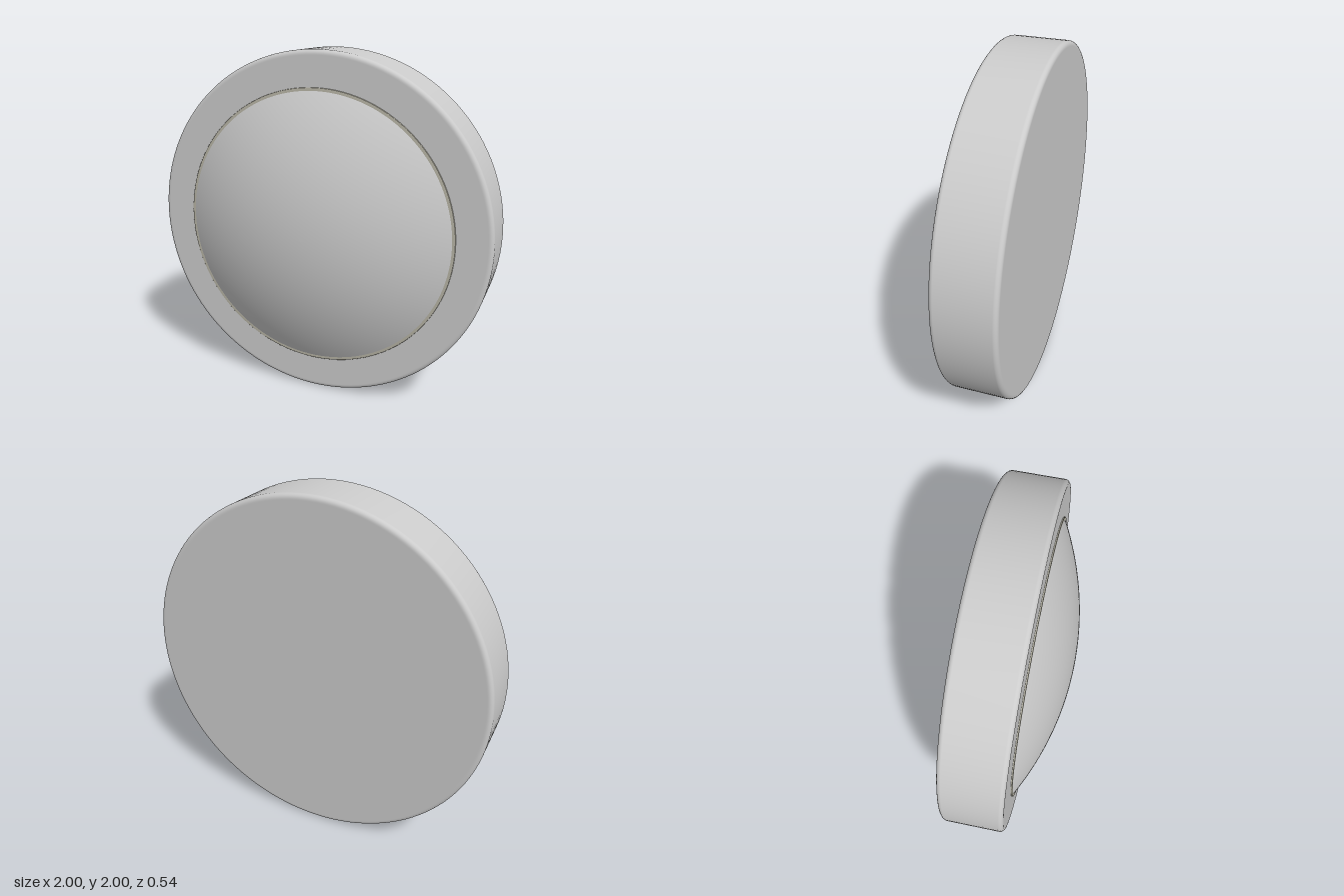
import * as THREE from 'three';

const SEGMENTS = 128;
const BACK = -0.27, FACE = 0.065, APEX = 0.272;
const RADIUS = 1, BEVEL = 0.025, DOME_RADIUS = 0.8;

// Revolve a [radius, depth] profile about the z axis
function turned(name, profile, color = 0xcccccc) {
  const geometry = new THREE.LatheGeometry(profile.map(([r, z]) => new THREE.Vector2(r, z)), SEGMENTS);
  geometry.rotateX(Math.PI / 2);
  const mesh = new THREE.Mesh(geometry, new THREE.MeshStandardMaterial({ color }));
  mesh.name = name;
  return mesh;
}

// Quarter-round edge points
function roundEdge(r, z, start) {
  return Array.from({ length: 7 }, (_, i) => {
    const a = start + (i / 6) * Math.PI / 2;
    return [r + BEVEL * Math.cos(a), z + BEVEL * Math.sin(a)];
  });
}

export function createModel() {
  const group = new THREE.Group();
  group.name = 'domedDisc';

  // Thick disc with rounded rims; the extra points keep its flat faces flat
  const inner = RADIUS - BEVEL;
  group.add(turned('baseDisc', [
    [0, BACK], [inner - 0.005, BACK],
    ...roundEdge(inner, BACK + BEVEL, -Math.PI / 2),
    ...roundEdge(inner, FACE - BEVEL, 0),
    [inner - 0.005, FACE], [0, FACE],
  ]));

  // Shallow spherical dome on the front
  const rise = APEX - FACE;
  const R = (DOME_RADIUS ** 2 + rise ** 2) / (2 * rise);
  const sweep = Math.asin(DOME_RADIUS / R);
  const dome = Array.from({ length: 33 }, (_, i) => {
    const a = sweep * (1 - i / 32);
    return [R * Math.sin(a), APEX - R + R * Math.cos(a)];
  });
  group.add(turned('dome', dome));

  // Thin seating ring around the dome
  const ringTop = FACE + 0.008;
  group.add(turned('seatingRing', [
    [0.803, FACE - 0.005], [0.803, ringTop - 0.002], [0.801, ringTop], [0.78, ringTop],
  ], 0xb8b5a6));

  group.position.y = RADIUS;
  const model = new THREE.Group();
  model.add(group);
  return model;
}
